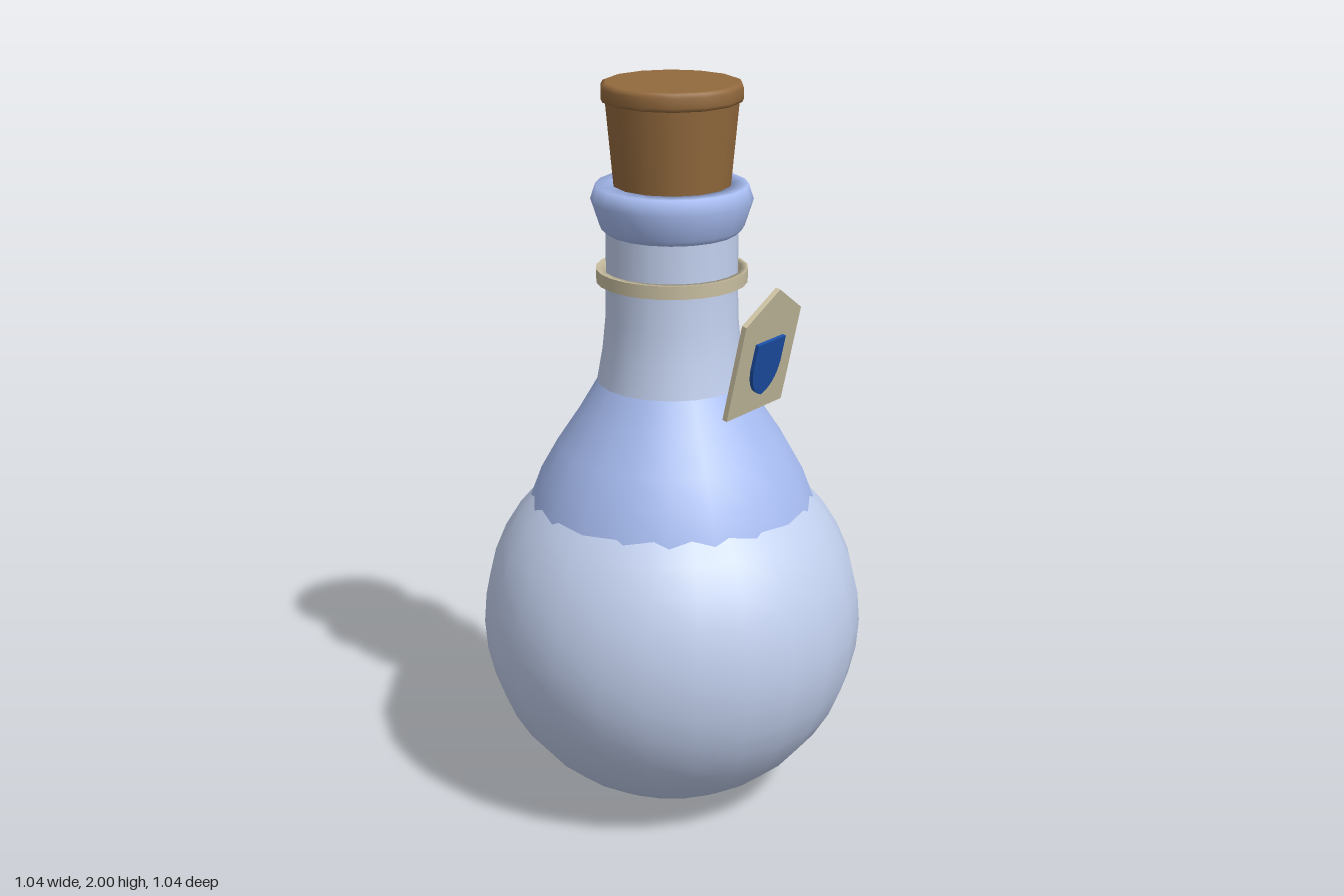
import * as THREE from 'three';

const mat = (color, extra = {}) => new THREE.MeshStandardMaterial({ color, ...extra });

export function createModel() {
  const group = new THREE.Group();
  const glass = mat(0xc2d0ee, { side: THREE.DoubleSide });
  const blueGlass = mat(0xa6bbf0, { side: THREE.DoubleSide });
  const corkMat = mat(0x92693d);
  const paper = mat(0xc9bfa1);
  const blue = mat(0x1b4fa6);

  const add = (name, geometry, material, parent = group) => {
    const mesh = new THREE.Mesh(geometry, material);
    mesh.name = name;
    parent.add(mesh);
    return mesh;
  };
  // Turned part from [radius, height] pairs, bottom to top on the outside
  const turned = (name, points, segments, material) =>
    add(name, new THREE.LatheGeometry(points.map(([r, y]) => new THREE.Vector2(r, y)), segments), material);

  // Round body
  add('body', new THREE.SphereGeometry(0.52, 24, 20), glass).position.y = 0.525;

  // Sloping shoulder and neck
  turned('shoulder', [[0.405, 0.81], [0.385, 0.87], [0.355, 0.95], [0.31, 1.03], [0.25, 1.12], [0.2, 1.205]], 20, blueGlass);
  turned('neck', [[0.2, 1.205], [0.185, 1.29], [0.176, 1.38], [0.174, 1.5], [0.174, 1.63]], 20, glass);

  // Flared lip with a hole for the stopper
  turned('lip', [[0.174, 1.61], [0.19, 1.625], [0.213, 1.695], [0.2, 1.735], [0.15, 1.735], [0.145, 1.62]], 20, blueGlass);

  // Tapered cork with a rounded cap
  add('cork', new THREE.CylinderGeometry(0.176, 0.145, 0.33, 14), corkMat).position.y = 1.79;
  turned('corkCap', [[0, 1.95], [0.172, 1.95], [0.182, 1.953], [0.187, 1.962], [0.187, 1.988], [0.182, 1.997], [0.175, 2], [0.175, 2], [0, 2]], 14, corkMat);

  // Cord around the neck
  turned('cord', [[0.183, 1.477], [0.2, 1.477], [0.2, 1.477], [0.201, 1.513], [0.201, 1.513], [0.183, 1.513], [0.183, 1.477]], 24, paper);

  // Tilted label with a pointed top
  const tag = new THREE.Group();
  tag.name = 'tag';
  tag.position.set(0, 1.34, 0.3);
  tag.rotation.x = 0.22;
  group.add(tag);

  const card = new THREE.Shape();
  card.moveTo(-0.123, -0.173);
  card.lineTo(0.123, -0.173);
  card.lineTo(0.123, 0.095);
  card.lineTo(0, 0.173);
  card.lineTo(-0.123, 0.095);
  card.closePath();
  add('card', new THREE.ExtrudeGeometry(card, { depth: 0.014, bevelEnabled: false }), paper, tag).position.z = -0.007;

  // Shield shape on the label
  const shield = new THREE.Shape();
  shield.moveTo(-0.061, 0.032);
  shield.lineTo(-0.061, -0.04);
  shield.quadraticCurveTo(-0.055, -0.105, 0, -0.123);
  shield.quadraticCurveTo(0.055, -0.105, 0.061, -0.04);
  shield.lineTo(0.061, 0.032);
  shield.closePath();
  add('shield', new THREE.ExtrudeGeometry(shield, { depth: 0.011, bevelEnabled: false, curveSegments: 8 }), blue, tag).position.z = 0.006;

  return group;
}
